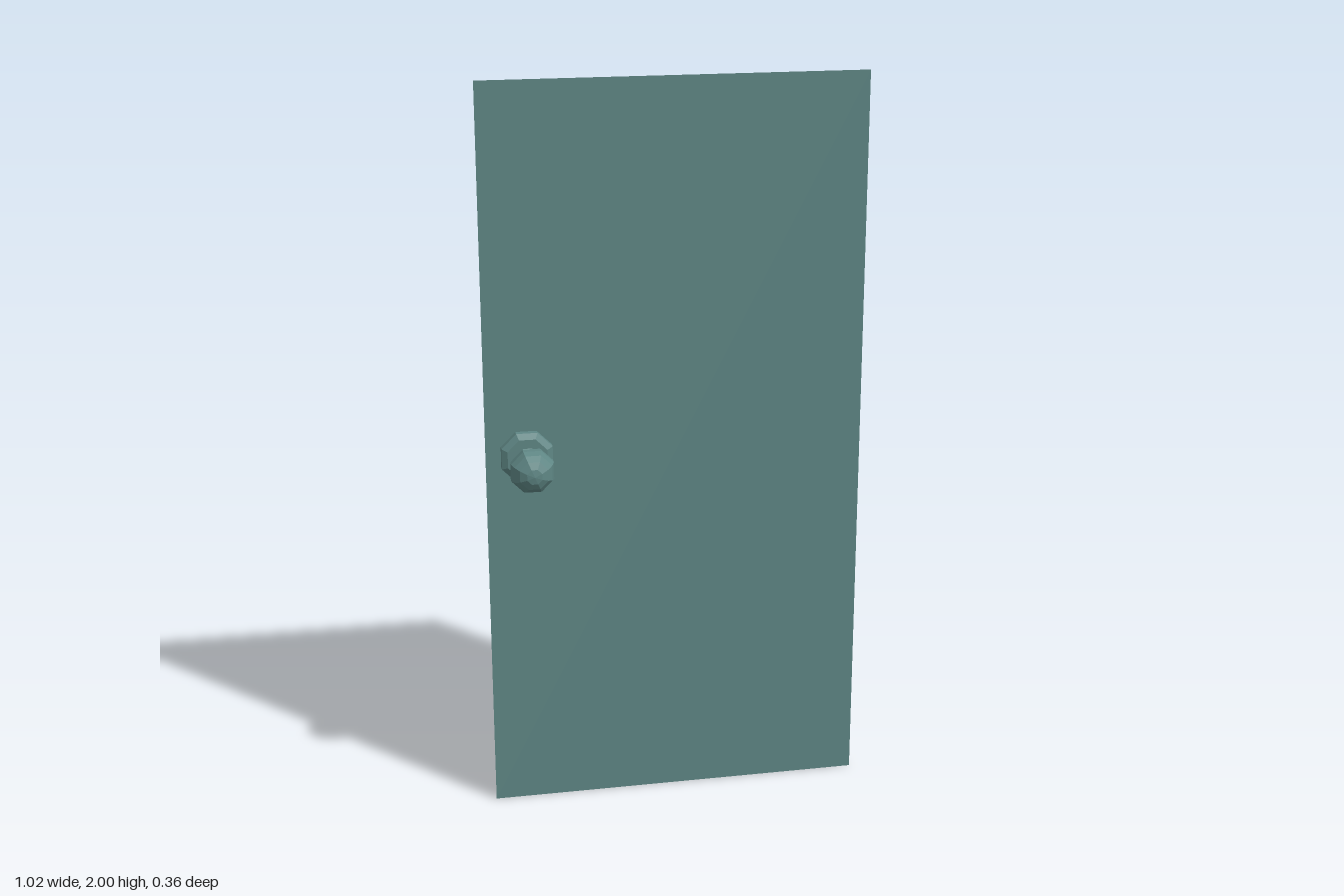
import * as THREE from 'three';

const KNOB_X = -0.403, KNOB_Y = 1.01;
const SIDES = 8;

export function createModel() {
  const group = new THREE.Group();
  const material = new THREE.MeshStandardMaterial({
    color: 0x5f8785, flatShading: true, side: THREE.DoubleSide,
  });

  // Thin door leaf, a single sheet
  const panel = new THREE.Mesh(new THREE.PlaneGeometry(1.024, 2), material);
  panel.name = 'doorPanel';
  panel.position.y = 1;
  group.add(panel);

  // Half knob profile (flat-to-axis radius, distance from door): rose, flared neck
  const profile = [
    [0.068, 0], [0.068, 0.018], [0.053, 0.028], [0.029, 0.028],
    [0.021, 0.036], [0.017, 0.047], [0.017, 0.069],
  ];
  // Ball grip, from the neck joint round to the pole
  const ballRadius = 0.0565, ballZ = 0.1215, rings = 8;
  const startAngle = Math.PI - Math.asin(0.017 / ballRadius);
  for (let i = 0; i <= rings; i++) {
    const a = startAngle * (1 - i / rings);
    profile.push([ballRadius * Math.sin(a), ballZ + ballRadius * Math.cos(a)]);
  }

  // Octagonal lathe turned so that its flats face up and sideways
  const toCorner = 1 / Math.cos(Math.PI / SIDES);
  const points = profile.map(([r, z]) => new THREE.Vector2(r * toCorner, z));
  const knobGeometry = new THREE.LatheGeometry(points, SIDES, Math.PI / SIDES);
  knobGeometry.rotateX(Math.PI / 2);

  // One knob on each face of the door
  for (const [name, turn] of [['frontKnob', 0], ['backKnob', Math.PI]]) {
    const knob = new THREE.Mesh(knobGeometry, material);
    knob.name = name;
    knob.position.set(KNOB_X, KNOB_Y, 0);
    knob.rotation.y = turn;
    group.add(knob);
  }
  return group;
}
